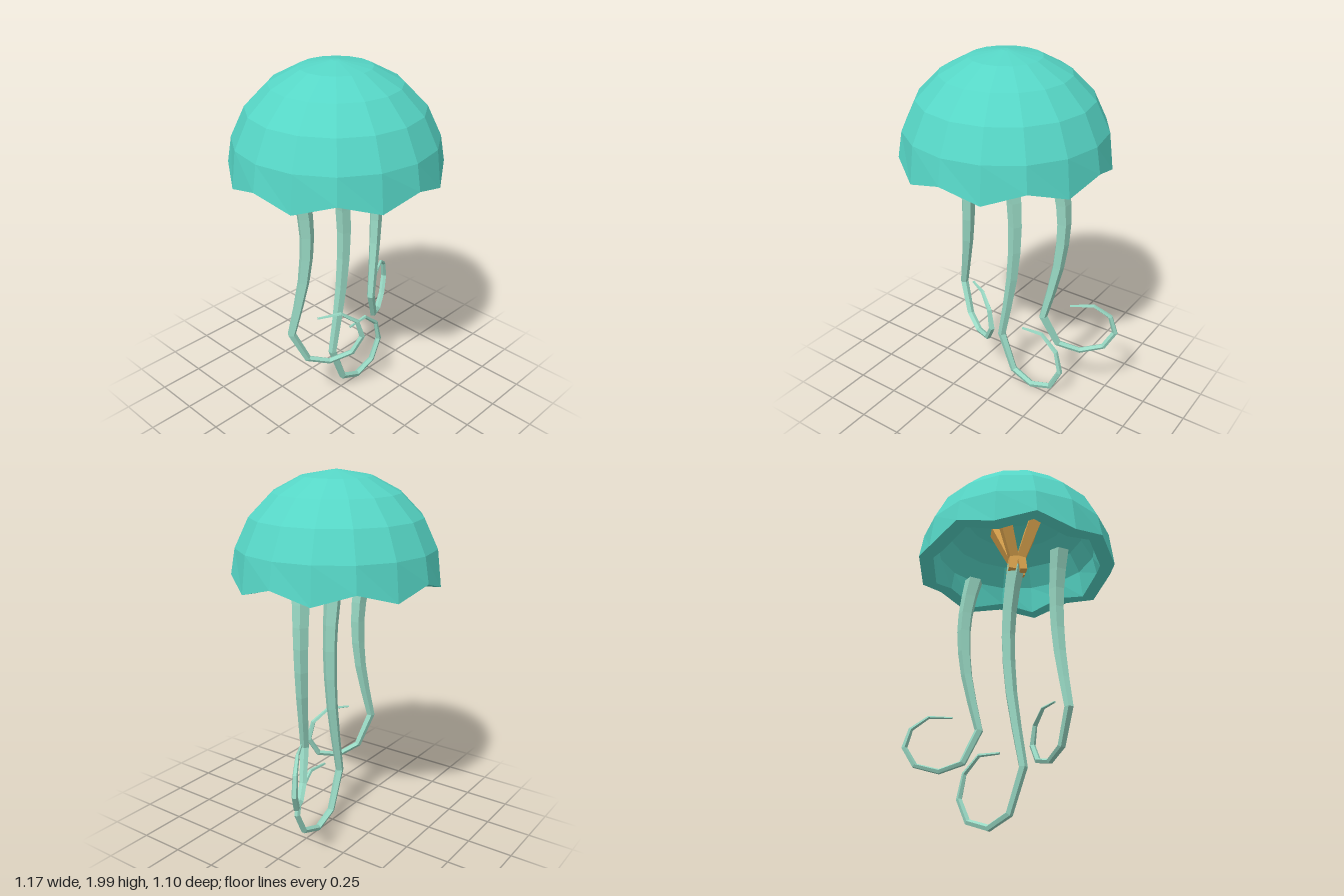
import * as THREE from 'three';

const SIDES = 16;
const AXIS_X = -0.035; // the bell's centre line

const flat = (name, color) => {
  const m = new THREE.MeshStandardMaterial({ color });
  m.name = name;
  m.flatShading = true;
  return m;
};

// Domed bell: inner wall down, across the rim, outer wall up
function bellGeometry() {
  const inner = [[0, 1.88], [0.16, 1.85], [0.285, 1.78], [0.385, 1.69], [0.45, 1.58], [0.47, 1.48]];
  const outer = [[0.55, 1.48], [0.527, 1.615], [0.453, 1.77], [0.335, 1.89], [0.185, 1.97], [0.02, 2], [0, 2]];
  const profile = [...inner, ...outer].map(([r, y]) => new THREE.Vector2(r, y));
  const geo = new THREE.LatheGeometry(profile, SIDES);
  const pos = geo.attributes.position;
  // every other rim corner drops to make the scalloped edge
  for (let i = 0; i <= SIDES; i++) {
    if (i % 2 === 0) continue;
    for (const j of [inner.length - 1, inner.length]) {
      const k = i * profile.length + j;
      pos.setY(k, pos.getY(k) - 0.06);
    }
  }
  geo.computeVertexNormals();
  return geo;
}

// Tapered tube along a path in the xy plane; stations are [x, y, radius]
function taperedTube(stations, sides) {
  const verts = [], index = [];
  const n = stations.length;
  stations.forEach(([x, y, r], i) => {
    const a = stations[Math.max(i - 1, 0)], b = stations[Math.min(i + 1, n - 1)];
    const len = Math.hypot(b[0] - a[0], b[1] - a[1]);
    const tx = (b[0] - a[0]) / len, ty = (b[1] - a[1]) / len;
    for (let j = 0; j < sides; j++) {
      const t = (j / sides) * Math.PI * 2;
      const c = r * Math.cos(t);
      verts.push(x - ty * c, y + tx * c, r * Math.sin(t));
    }
  });
  for (let i = 0; i < n - 1; i++) {
    for (let j = 0; j < sides; j++) {
      const a = i * sides + j, b = i * sides + (j + 1) % sides;
      index.push(a, b, a + sides, b, b + sides, a + sides);
    }
  }
  // end caps
  const last = (n - 1) * sides;
  for (let j = 1; j < sides - 1; j++) {
    index.push(0, j + 1, j, last, last + j, last + j + 1);
  }
  const geo = new THREE.BufferGeometry();
  geo.setAttribute('position', new THREE.Float32BufferAttribute(verts, 3));
  geo.setIndex(index);
  geo.computeVertexNormals();
  return geo;
}

// Swaying tentacle that hangs from the origin and ends in a curl
const tentaclePath = [
  [0, 0, 0.053], [0.025, -0.14, 0.047], [0.043, -0.28, 0.043], [0.05, -0.42, 0.04],
  [0.045, -0.58, 0.037], [0.028, -0.76, 0.033], [-0.005, -0.96, 0.028], [-0.045, -1.17, 0.024],
  [0.04, -1.395, 0.021], [0.165, -1.45, 0.019], [0.295, -1.405, 0.018], [0.355, -1.28, 0.017],
  [0.325, -1.15, 0.014], [0.23, -1.065, 0.011], [0.1, -1.075, 0.007],
];

// Frilled mouth arm: wide at the bell, pinched at the neck, flared at its foot
const armPath = [[0.14, 1.76, 0.05], [0.03, 1.52, 0.035], [0.045, 1.43, 0.028]];

export function createModel() {
  const model = new THREE.Group();
  model.name = 'jellyfish';
  const teal = flat('teal bell', 0x56d6c6);
  const mint = flat('mint tentacle', 0x98d8c3);
  const amber = flat('amber mouth', 0xe0a850);

  const add = (name, geo, mat) => {
    const mesh = new THREE.Mesh(geo, mat);
    mesh.name = name;
    model.add(mesh);
    return mesh;
  };

  add('bell', bellGeometry(), teal).position.x = AXIS_X;

  // Three tentacles in a row; the outer two are shorter and turned apart
  const tentacle = taperedTube(tentaclePath, 5);
  const places = [
    ['rightTentacle', -0.32, -Math.PI / 6, 0.785],
    ['middleTentacle', -0.025, 0, 1],
    ['leftTentacle', 0.265, Math.PI / 6, 0.785],
  ];
  for (const [name, x, turn, stretch] of places) {
    const mesh = add(name, tentacle, mint);
    mesh.position.set(x, 1.475, 0);
    mesh.rotation.y = turn;
    mesh.scale.y = stretch;
  }

  // Four mouth arms around the centre
  const arm = taperedTube(armPath, 4);
  for (let i = 0; i < 4; i++) {
    const mesh = add('mouthArm', arm, amber);
    mesh.position.x = AXIS_X;
    mesh.rotation.y = (i * Math.PI) / 2;
  }
  return model;
}
